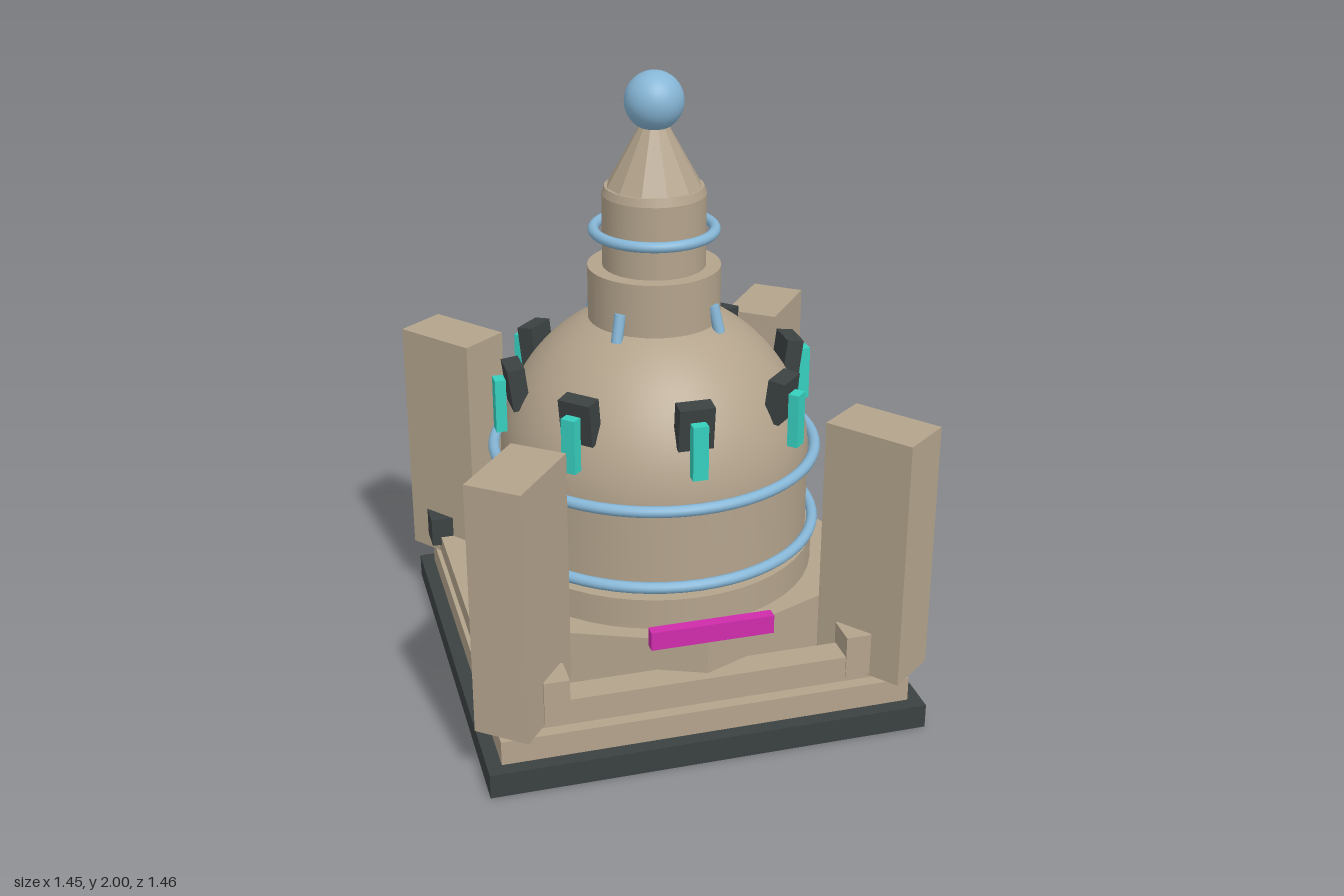
import * as THREE from 'three';

export function createModel() {
  const model = new THREE.Group();
  model.name = 'domedTower';

  const mat = (name, color, opts = {}) => {
    const m = new THREE.MeshStandardMaterial({ color, ...opts });
    m.name = name;
    return m;
  };
  const stone = mat('stone', 0xb3a38c);
  const blue = mat('paleBlue', 0x86b6d6);
  const dark = mat('charcoal', 0x3b4141);
  const teal = mat('teal', 0x36cfbe);
  const magenta = mat('magenta', 0xcf2cab);

  const add = (name, geo, material, x = 0, y = 0, z = 0, parent = model) => {
    const mesh = new THREE.Mesh(geo, material);
    mesh.name = name;
    mesh.position.set(x, y, z);
    parent.add(mesh);
    return mesh;
  };
  // box and cylinder placed by their bottom and top heights
  const box = (name, m, w, d, y0, y1, x = 0, z = 0) =>
    add(name, new THREE.BoxGeometry(w, y1 - y0, d), m, x, (y0 + y1) / 2, z);
  const drum = (name, m, r0, r1, y0, y1, sides = 48) => {
    let g = new THREE.CylinderGeometry(r1, r0, y1 - y0, sides);
    if (sides < 20) {
      g = g.toNonIndexed();
      g.computeVertexNormals();
    }
    return add(name, g, m, 0, (y0 + y1) / 2, 0);
  };
  const ring = (name, radius, tube, y) => {
    const g = new THREE.TorusGeometry(radius, tube, 12, 64);
    g.rotateX(Math.PI / 2);
    return add(name, g, blue, 0, y, 0);
  };

  // stepped square base and octagonal plinth
  box('groundSlab', dark, 1.4, 1.4, 0, 0.08);
  box('lowerStep', stone, 1.31, 1.31, 0.08, 0.16);
  box('upperStep', stone, 1.23, 1.23, 0.16, 0.19);
  drum('octagonPlinth', stone, 0.62, 0.62, 0.19, 0.38, 8);
  drum('roundPlinth', stone, 0.52, 0.52, 0.38, 0.48);

  // rails along each edge, with end blocks
  for (const s of [1, -1]) {
    box('edgeRail', stone, 1.04, 0.09, 0.2, 0.27, 0, s * 0.605);
    box('sideRail', stone, 0.09, 1.04, 0.2, 0.27, s * 0.605, 0);
    box('magentaBar', magenta, 0.385, 0.036, 0.41, 0.47, 0, s * 0.65);
    for (const t of [1, -1]) {
      box('railBlock', s < 0 && t < 0 ? dark : stone, 0.08, 0.1, 0.2, 0.34, t * 0.48, s * 0.603);
      box('sideBlock', t < 0 ? dark : stone, 0.1, 0.1, 0.24, 0.34, s * 0.632, t * 0.515);
    }
  }

  // four corner pillars, turned towards the centre
  for (const sx of [1, -1]) for (const sz of [1, -1]) {
    const p = box('cornerPillar', stone, 0.18, 0.295, 0.19, 1.01, sx * 0.564, sz * 0.556);
    p.rotation.y = sx * sz * Math.atan2(47, 60);
  }

  // floating domed body: drum and dome in one profile
  const profile = [new THREE.Vector2(0, 0.505), new THREE.Vector2(0.5, 0.505), new THREE.Vector2(0.5, 0.505)];
  for (let i = 0; i <= 20; i++) {
    const a = (i / 20) * Math.PI / 2;
    profile.push(new THREE.Vector2(0.5 * Math.cos(a), 0.77 + 0.455 * Math.sin(a) + 0.045 * Math.sin(a) ** 2));
  }
  profile[profile.length - 1].x = 0;
  add('domedBody', new THREE.LatheGeometry(profile, 64), stone);
  ring('lowerRing', 0.522, 0.018, 0.525);
  ring('upperRing', 0.522, 0.018, 0.785);

  // eight hooded lights around the dome
  for (let i = 0; i < 8; i++) {
    const light = new THREE.Group();
    light.name = 'domeLight';
    light.rotation.y = (i * Math.PI) / 4;
    const hood = add('hood', new THREE.BoxGeometry(0.11, 0.14, 0.055), dark, 0, 1.03, 0.452, light);
    hood.rotation.x = 0.12;
    add('lamp', new THREE.BoxGeometry(0.048, 0.175, 0.035), teal, 0, 0.968, 0.505, light);
    model.add(light);
  }

  // slanted pegs on the diagonals, below the body and around the neck
  for (let i = 0; i < 4; i++) {
    const pegs = new THREE.Group();
    pegs.name = 'pegs';
    pegs.rotation.y = Math.PI / 4 + (i * Math.PI) / 2;
    const strut = add('bodyStrut', new THREE.CylinderGeometry(0.02, 0.02, 0.1, 12), blue, 0, 0.49, 0.44, pegs);
    strut.rotation.x = -0.25;
    const peg = add('neckPeg', new THREE.CylinderGeometry(0.018, 0.018, 0.09, 12), blue, 0, 1.245, 0.222, pegs);
    peg.rotation.x = -0.25;
    model.add(pegs);
  }

  // neck, shaft, spire and ball
  drum('neck', stone, 0.21, 0.21, 1.18, 1.39);
  drum('shaft', stone, 0.163, 0.163, 1.39, 1.62, 32);
  drum('shaftCollar', stone, 0.163, 0.155, 1.62, 1.645, 32);
  drum('spire', stone, 0.152, 0.035, 1.64, 1.85, 12);
  ring('neckRing', 0.19, 0.017, 1.505);
  add('ball', new THREE.SphereGeometry(0.092, 32, 20), blue, 0, 1.908, 0);

  return model;
}
